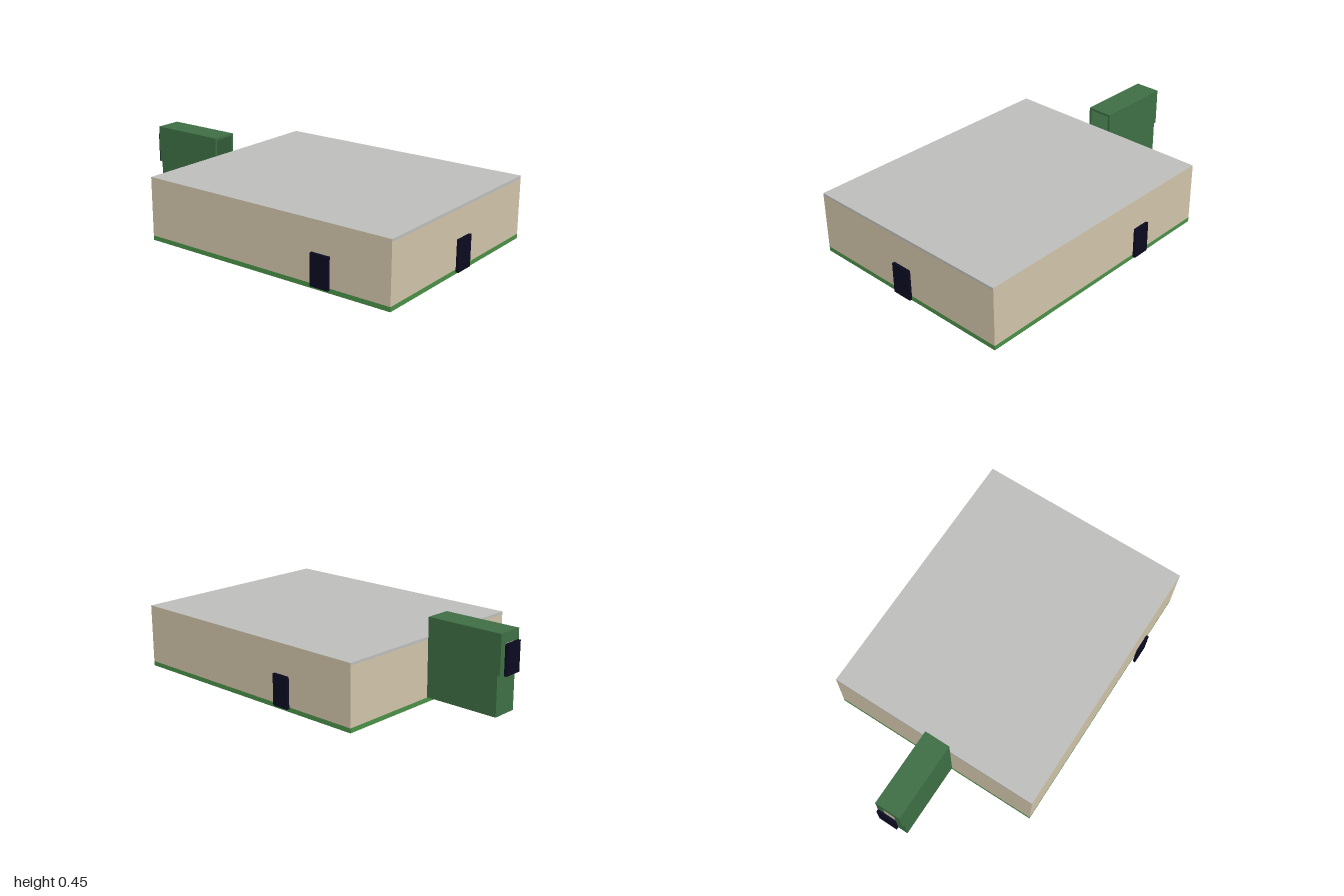
import * as THREE from 'three';

const paint = (name, color) => {
  const m = new THREE.MeshStandardMaterial({ color });
  m.name = name;
  return m;
};

export function createModel() {
  const tan = paint('tan wall', 0xd0c3a9);
  const grey = paint('grey roof', 0xbdbdbc);
  const grass = paint('grass green', 0x4a9046);
  const green = paint('dark green', 0x3e6e44);
  const navy = paint('navy door', 0x0a0a20);
  const model = new THREE.Group();
  model.name = 'building';

  // Box given by its lower and upper limits on each axis
  const block = (name, material, [x0, x1], [y0, y1], [z0, z1], parent = model) => {
    const mesh = new THREE.Mesh(new THREE.BoxGeometry(x1 - x0, y1 - y0, z1 - z0), material);
    mesh.position.set((x0 + x1) / 2, (y0 + y1) / 2, (z0 + z1) / 2);
    mesh.name = name;
    parent.add(mesh);
    return mesh;
  };

  // Main hall; the roof edge shows only at the front and back
  const width = [-0.608, 0.608], length = [-0.535, 0.972];
  block('floorSlab', grass, width, [0, 0.025], length);
  block('hallWalls', tan, width, [0.025, 0.336], length);
  block('roof', [tan, tan, grey, grey, grey, grey], width, [0.336, 0.35], length);

  // Detached door panels around the hall and behind the stair tower
  block('frontDoor', navy, [-0.058, 0.056], [0.02, 0.19], [0.985, 1]);
  block('leftDoor', navy, [0.617, 0.632], [0.02, 0.19], [-0.13, -0.03]);
  block('rightDoor', navy, [-0.632, -0.617], [0.02, 0.19], [0.532, 0.638]);
  block('towerDoor', navy, [-0.092, 0.015], [0.24, 0.402], [-1, -0.985]);

  // Hollow stair tower, open below and towards the hall
  const tower = new THREE.Group();
  tower.name = 'stairTower';
  model.add(tower);
  const x0 = -0.112, x1 = 0.034, t = 0.013;
  for (const [side, a, b] of [['right', x0, x0 + t], ['left', x1 - t, x1]]) {
    block(side + 'TowerWall', green, [a, b], [0.027, 0.44], [-0.96, -0.535], tower);
  }
  block('towerRoof', green, [x0, x1], [0.44, 0.453], [-0.96, -0.535], tower);
  block('lowerBackWall', green, [x0 + t, x1 - t], [0.027, 0.245], [-0.96, -0.947], tower);

  // Upper back wall with a doorway
  const wall = new THREE.Shape([[x0, 0.245], [x1, 0.245], [x1, 0.453], [x0, 0.453]]
    .map(([x, y]) => new THREE.Vector2(x, y)));
  wall.holes.push(new THREE.Path([[-0.075, 0.25], [-0.075, 0.4], [-0.005, 0.4], [-0.005, 0.25]]
    .map(([x, y]) => new THREE.Vector2(x, y))));
  const backWall = new THREE.Mesh(
    new THREE.ExtrudeGeometry(wall, { depth: 0.015, bevelEnabled: false }), green);
  backWall.position.z = -0.975;
  backWall.name = 'upperBackWall';
  tower.add(backWall);
  block('doorwayPanel', tan, [-0.075, -0.005], [0.25, 0.394], [-0.972, -0.966], tower);

  // Staircase climbing to the back doorway
  const steps = 9, run = 0.36 / steps, rise = 0.215 / steps;
  for (let i = 0; i < steps; i++) {
    const z = -0.535 - i * run, y = 0.027 + i * rise;
    block('step', green, [x0 + t, x1 - t], [y, y + rise], [z - run, z], tower);
  }
  block('landing', green, [x0 + t, x1 - t], [0.225, 0.242], [-0.947, -0.895], tower);

  return model;
}
